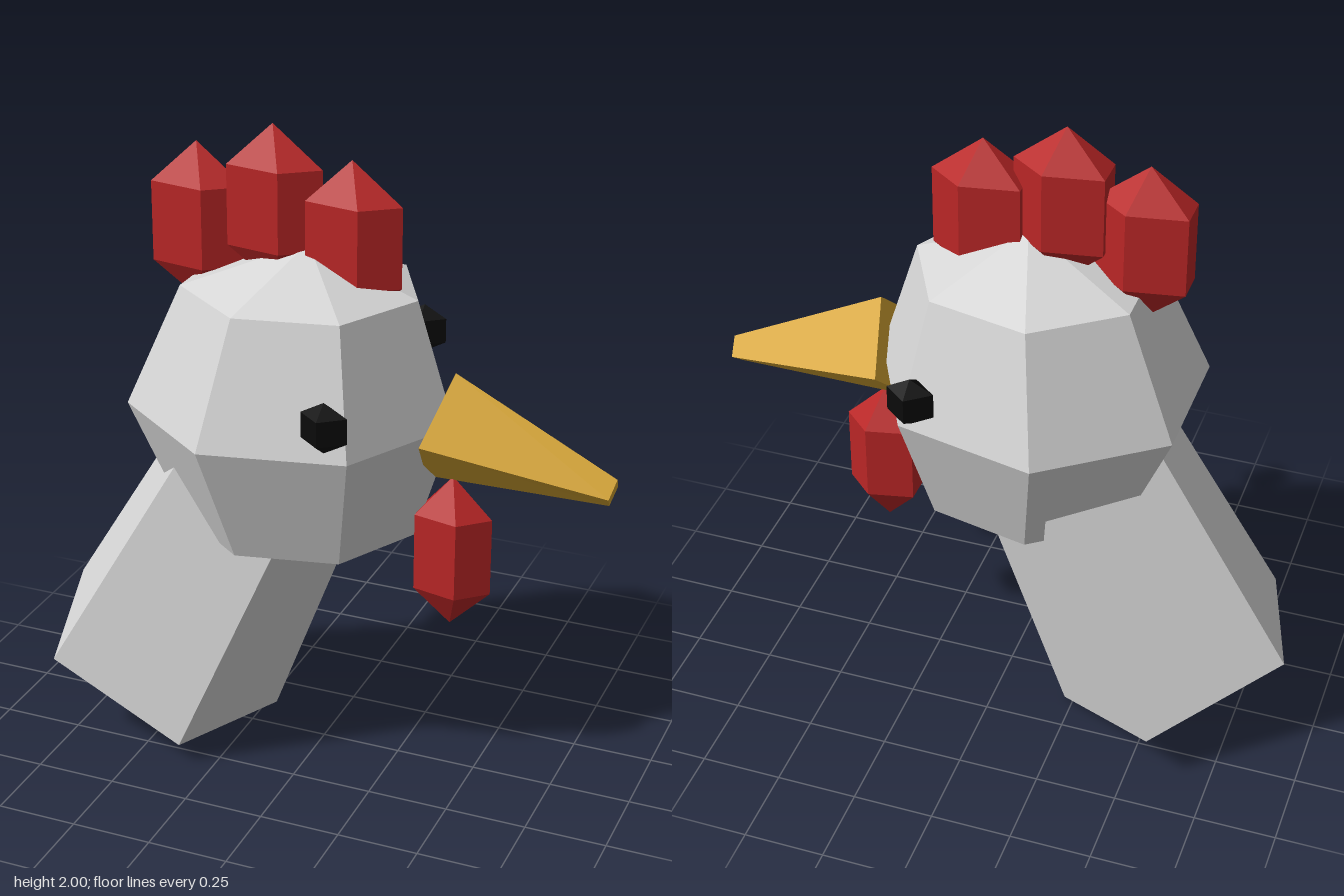
import * as THREE from 'three';

export function createModel() {
  const group = new THREE.Group();
  const material = (name, color, side = THREE.FrontSide) => {
    const m = new THREE.MeshStandardMaterial({ color, side, flatShading: true });
    m.name = name;
    return m;
  };
  const feather = material('featherGrey', 0xd6d6d6, THREE.DoubleSide);
  const red = material('combRed', 0xba2626);
  const gold = material('beakGold', 0xd6a532);
  const black = material('eyeBlack', 0x0a0a0a);

  const add = (name, geometry, mat, x = 0, y = 0, z = 0) => {
    const mesh = new THREE.Mesh(geometry, mat);
    mesh.name = name;
    mesh.position.set(x, y, z);
    group.add(mesh);
    return mesh;
  };

  // Head: seven-sided lathe, its crown and base leaning towards the beak
  const profile = [[0, -0.505], [0.361, -0.375], [0.505, 0], [0.361, 0.375], [0, 0.505]]
    .map(([r, y]) => new THREE.Vector2(r, y));
  const head = new THREE.LatheGeometry(profile, 7, Math.PI / 2);
  const p = head.attributes.position;
  for (let i = 0; i < p.count; i++) {
    p.setX(i, p.getX(i) - 0.095 + 0.045 * (p.getY(i) / 0.505) ** 2);
    p.setZ(i, p.getZ(i) * 0.935);
  }
  head.computeVertexNormals();
  add('head', head, feather, 0, 1.15, 0);

  // Neck: open, tapered five-sided tube, tilted forward
  const neck = new THREE.CylinderGeometry(0.318, 0.407, 0.9, 5, 1, true, Math.PI);
  add('neck', neck, feather, -0.365, 0.58, 0).rotation.z = -Math.atan(0.5);

  // Beak: diamond section narrowing to a blunt tip
  const corners = [
    [0.41, 1.32, 0], [0.365, 1.15, 0.18], [0.325, 0.978, 0], [0.365, 1.15, -0.18],
    [0.905, 1.07, 0], [0.895, 1.025, 0.05], [0.885, 0.983, 0], [0.895, 1.025, -0.05],
  ];
  const faces = [0, 2, 1, 0, 3, 2, 4, 5, 6, 4, 6, 7];
  for (let i = 0; i < 4; i++) {
    const j = (i + 1) % 4;
    faces.push(i, j, j + 4, i, j + 4, i + 4);
  }
  const beak = new THREE.BufferGeometry();
  beak.setAttribute('position', new THREE.Float32BufferAttribute(corners.flat(), 3));
  beak.setIndex(faces);
  beak.computeVertexNormals();
  add('beak', beak, gold);

  // Comb and wattle: stretched, pointed five-sided lobes
  const lobe = (name, x, y, rx) => {
    const g = new THREE.SphereGeometry(1, 5, 3, Math.PI).scale(rx, 0.245, 0.096);
    add(name, g, red, x, y, 0);
  };
  lobe('combBack', -0.402, 1.675, 0.179);
  lobe('combMiddle', -0.16, 1.755, 0.179);
  lobe('combFront', 0.085, 1.675, 0.179);
  lobe('wattle', 0.41, 0.745, 0.144);

  // Eyes
  for (const side of [1, -1]) {
    const g = new THREE.SphereGeometry(1, 4, 3).scale(0.081, 0.077, 0.064);
    add(side > 0 ? 'eyeNear' : 'eyeFar', g, black, 0.165, 1.273, side * 0.405);
  }

  return group;
}
